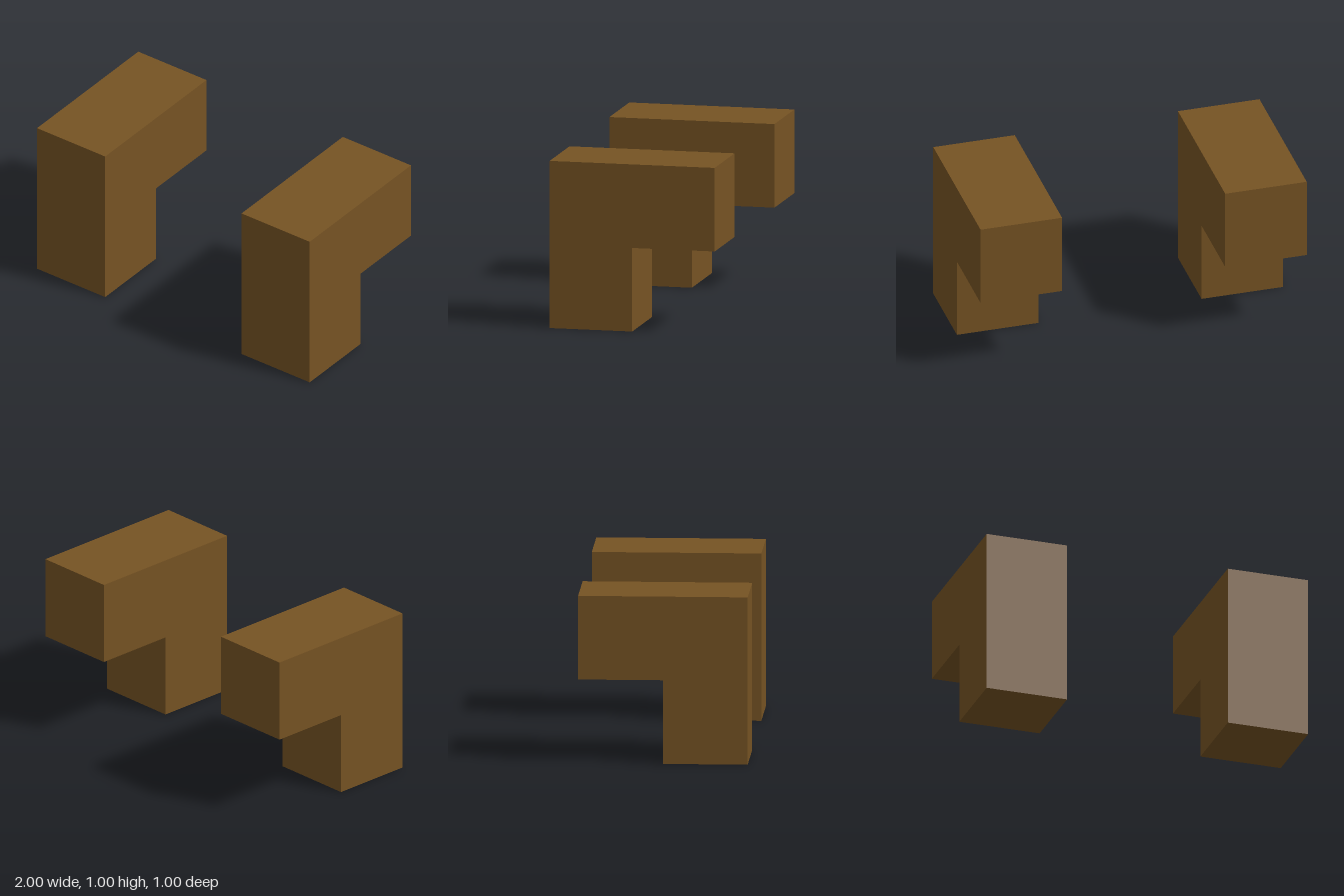
import * as THREE from 'three';

export function createModel() {
  const model = new THREE.Group();
  model.name = 'bracketPair';
  const wood = new THREE.MeshStandardMaterial({ color: 0x765323 });
  wood.name = 'brown wood';

  // L-shaped side profile: upright at the front, arm reaching back
  const profile = new THREE.Shape([
    [-0.5, 0], [0, 0], [0, 0.5], [0.5, 0.5], [0.5, 1], [-0.5, 1],
  ].map(([x, y]) => new THREE.Vector2(x, y)));

  // Extrude the profile, then turn its width along x and its front to +z
  const geometry = new THREE.ExtrudeGeometry(profile, { depth: 0.5, bevelEnabled: false });
  geometry.translate(0, 0, -0.25);
  geometry.rotateY(Math.PI / 2);

  // One bracket on each side
  for (const [name, x] of [['leftBracket', 0.75], ['rightBracket', -0.75]]) {
    const bracket = new THREE.Mesh(geometry, wood);
    bracket.name = name;
    bracket.position.x = x;
    model.add(bracket);
  }
  return model;
}
